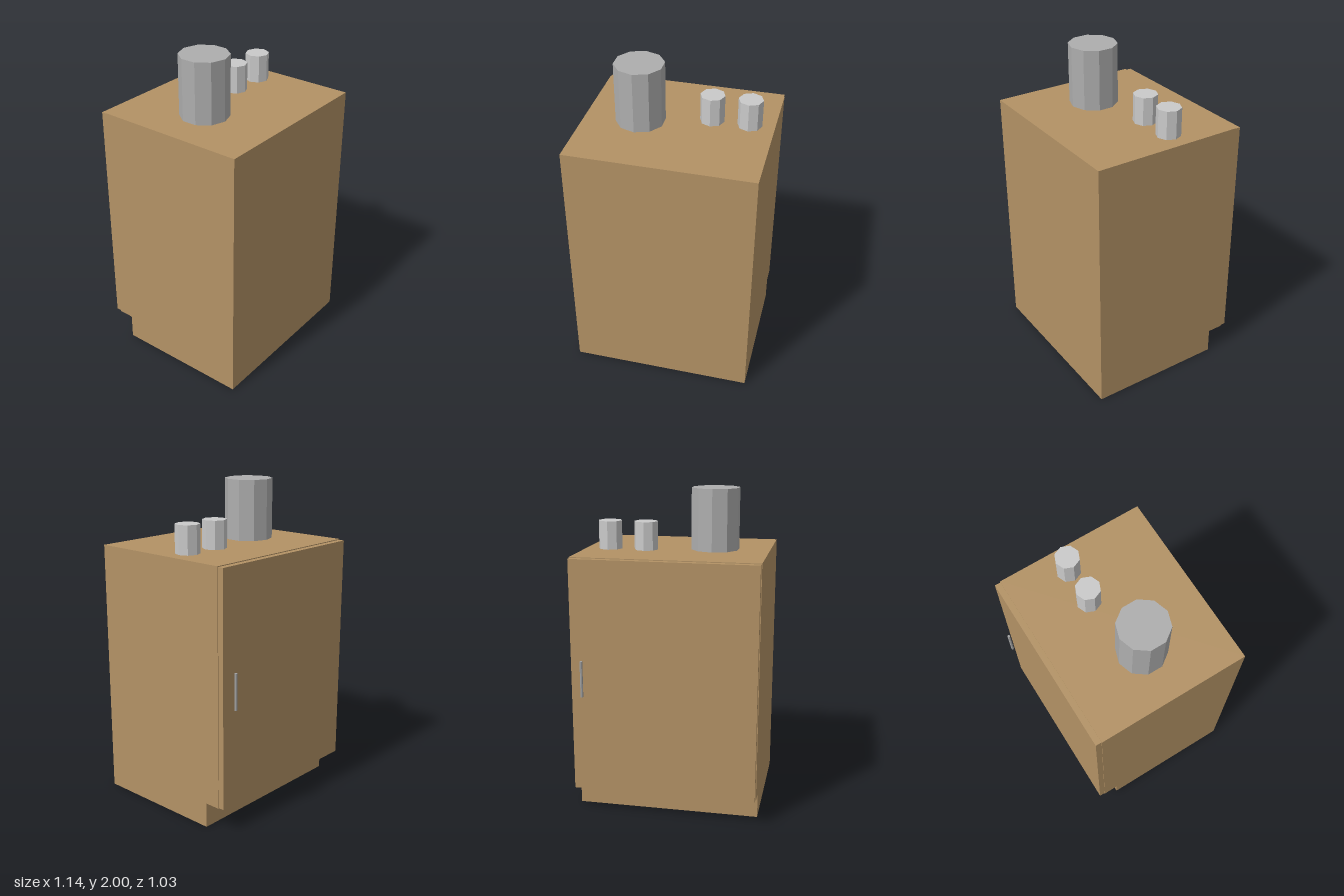
import * as THREE from 'three';

export function createModel() {
  const model = new THREE.Group();
  model.name = 'cabinet';

  const material = (name, color) => {
    const m = new THREE.MeshStandardMaterial({ color, flatShading: true });
    m.name = name;
    return m;
  };
  const wood = material('wood', 0xb39265);
  const grey = material('grey', 0xaeaeae);
  const paleGrey = material('pale grey', 0xcacaca);
  const steel = material('steel', 0xa0a0a0);

  const add = (name, geometry, mat, x, y, z) => {
    const mesh = new THREE.Mesh(geometry, mat);
    mesh.name = name;
    mesh.position.set(x, y, z);
    model.add(mesh);
    return mesh;
  };
  // Faceted upright cylinder standing on a given height
  const post = (name, radius, height, sides, mat, x, bottom, z) =>
    add(name, new THREE.CylinderGeometry(radius, radius, height, sides), mat, x, bottom + height / 2, z);

  // Carcass: side profile with a toe-kick recess, extruded across the width
  const width = 1.142, top = 1.62;
  const profile = new THREE.Shape([
    [-0.515, 0], [0.34, 0], [0.34, 0.157], [0.438, 0.157], [0.438, top], [-0.515, top],
  ].map(([z, y]) => new THREE.Vector2(z, y)));
  const carcass = new THREE.ExtrudeGeometry(profile, { depth: width, bevelEnabled: false });
  carcass.translate(0, 0, -width / 2);
  carcass.rotateY(Math.PI / 2);
  add('carcass', carcass, wood, 0, 0, 0);

  // Door, a touch smaller than the carcass, with its handle standing clear
  const doorBottom = 0.16, doorTop = 1.615;
  add('door', new THREE.BoxGeometry(1.134, doorTop - doorBottom, 0.037), wood,
    0, (doorBottom + doorTop) / 2, -0.4565);
  post('handle', 0.009, 0.225, 8, steel, 0.494, 0.777, -0.506);

  // Canisters on the top
  post('largeCanister', 0.151, 2 - top, 10, grey, -0.23, top, 0.036);
  for (const x of [0.19, 0.419]) post('smallCanister', 0.075, 0.175, 8, paleGrey, x, top, -0.06);

  return model;
}
